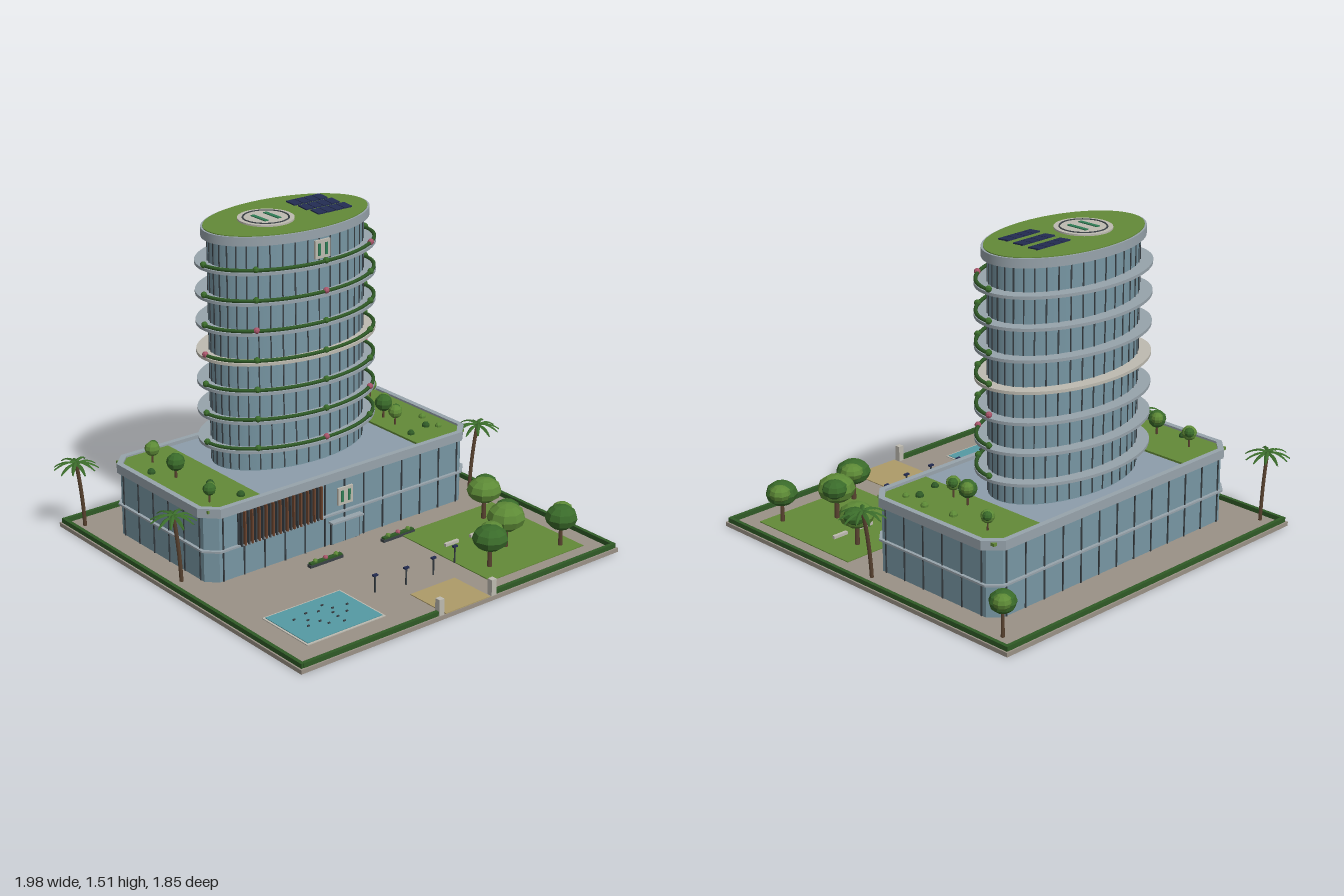
import * as THREE from 'three';

const C = {
  stone: 0x9a9186, glass: 0x7796a3, trim: 0x97a3ab, dark: 0x3a4146, green: 0x638a38, hedge: 0x2f5a26,
  leafA: 0x3a6b2a, leafB: 0x5d8a36, bark: 0x5a4330, pool: 0x559aa3, sand: 0xad9b68, pale: 0xbdbab0,
  wood: 0x6e4630, solar: 0x232c52, sign: 0x2f7d55, deck: 0x8d9dab, pink: 0xa8556a,
};
const mats = {};
function mat(color, flat = false) {
  const key = color + (flat ? 'f' : '');
  return (mats[key] ??= new THREE.MeshStandardMaterial({ color, flatShading: flat, side: flat ? THREE.DoubleSide : THREE.FrontSide }));
}
function add(parent, name, geo, color, x = 0, y = 0, z = 0, flat = false) {
  const m = new THREE.Mesh(geo, mat(color, flat));
  m.name = name;
  m.position.set(x, y, z);
  parent.add(m);
  return m;
}
// box given by its centre in plan and its lower and upper heights
function block(parent, name, color, x, z, w, d, y0, y1) {
  return add(parent, name, new THREE.BoxGeometry(w, y1 - y0, d), color, x, (y0 + y1) / 2, z);
}
function chamferedRect(P, hx, hz, c) {
  const pts = [[hx, -hz + c], [hx, hz - c], [hx - c, hz], [c - hx, hz], [-hx, hz - c], [-hx, c - hz], [c - hx, -hz], [hx - c, -hz]];
  return new P(pts.map(([x, y]) => new THREE.Vector2(x, y)));
}
function slab(parent, name, color, shape, y0, y1, z) {
  const g = new THREE.ExtrudeGeometry(shape, { depth: y1 - y0, bevelEnabled: false, curveSegments: 48 });
  g.rotateX(-Math.PI / 2);
  return add(parent, name, g, color, 0, y0, z);
}
function oval(parent, name, color, rx, rz, y0, y1, x, z) {
  const g = new THREE.CylinderGeometry(1, 1, y1 - y0, 64);
  g.scale(rx, 1, rz);
  return add(parent, name, g, color, x, (y0 + y1) / 2, z);
}
// low-poly crown on a short trunk, with a smaller second clump
function tree(parent, x, z, y0, yc, r, ry, light) {
  const t = new THREE.Group();
  t.name = 'tree';
  t.position.set(x, 0, z);
  add(t, 'trunk', new THREE.CylinderGeometry(r * 0.09, r * 0.14, yc - y0, 6), C.bark, 0, (yc + y0) / 2, 0);
  const crown = (cx, cy, cz, s, color) => {
    const g = new THREE.SphereGeometry(1, 9, 6);
    g.scale(r * s, ry * s, r * s);
    add(t, 'crown', g, color, cx, cy, cz, true);
  };
  crown(0, yc, 0, 0.95, light ? C.leafB : C.leafA);
  crown(r * 0.4, yc + ry * 0.25, -r * 0.35, 0.65, light ? C.leafA : C.leafB);
  parent.add(t);
}
function palm(parent, x, z, lean) {
  const p = new THREE.Group();
  p.name = 'palm';
  p.position.set(x, 0, z);
  const path = new THREE.QuadraticBezierCurve3(
    new THREE.Vector3(0, 0.02, 0), new THREE.Vector3(lean * 0.2, 0.2, 0), new THREE.Vector3(lean, 0.35, 0));
  add(p, 'palmTrunk', new THREE.TubeGeometry(path, 8, 0.009, 6), C.bark);
  for (let i = 0; i < 11; i++) {
    // tapering frond that arches over and droops
    const g = new THREE.PlaneGeometry(0.105, 0.02, 5, 2);
    g.rotateX(-Math.PI / 2);
    g.translate(0.0525, 0, 0);
    const a = g.attributes.position;
    for (let k = 0; k < a.count; k++) {
      const t = a.getX(k) / 0.105, w = a.getZ(k);
      a.setXYZ(k, a.getX(k), 0.035 * t - 0.06 * t * t - Math.abs(w) * 0.6, w * (0.3 + 2.4 * t * (1 - t) + 0.3 * (1 - t)));
    }
    const f = add(p, 'frond', g, C.leafA, lean, 0.35 + (i % 2) * 0.008, 0, true);
    f.rotation.y = (i / 11) * Math.PI * 2;
  }
  parent.add(p);
}

function makeGrounds() {
  const g = new THREE.Group();
  g.name = 'grounds';
  block(g, 'base', C.stone, 0, 0, 1.85, 1.85, 0, 0.02);
  block(g, 'lawn', C.green, 0.525, 0.5, 0.58, 0.62, 0.015, 0.024);
  block(g, 'drive', C.sand, 0, 0.805, 0.26, 0.235, 0.015, 0.024);
  block(g, 'poolRim', C.pale, -0.56, 0.617, 0.43, 0.315, 0.015, 0.024);
  block(g, 'poolWater', C.pool, -0.56, 0.617, 0.41, 0.295, 0.015, 0.027);
  for (let i = 0; i < 14; i++) {
    const a = i * 2.4, r = 0.3 + 0.045 * i;
    block(g, 'poolJet', C.dark, -0.56 + Math.cos(a) * r * 0.17, 0.617 + Math.sin(a) * r * 0.12, 0.012, 0.006, 0.025, 0.033);
  }
  // boundary hedge, with a gap at the gate
  for (const s of [-1, 1]) {
    block(g, 'sideHedge', C.hedge, s * 0.908, 0, 0.018, 1.83, 0.02, 0.042);
    block(g, 'frontHedge', C.hedge, s * 0.535, 0.908, 0.74, 0.018, 0.02, 0.042);
    block(g, 'gatePost', C.pale, s * 0.153, 0.907, 0.028, 0.028, 0.02, 0.097);
    // planters with flowers
    block(g, 'planter', C.dark, s * 0.215, 0.197, 0.19, 0.025, 0.02, 0.033);
    block(g, 'planterHedge', C.hedge, s * 0.215, 0.197, 0.18, 0.02, 0.033, 0.042);
    for (let i = -1; i <= 1; i++)
      add(g, 'flower', new THREE.SphereGeometry(0.012, 7, 5), i ? C.leafB : C.pink, s * 0.215 + i * 0.06, 0.044, 0.197, true);
    // path lights
    for (const [x, z] of [[0.08, 0.6], [0.235, 0.57]]) {
      block(g, 'lampPost', C.dark, s * x, z, 0.006, 0.006, 0.02, 0.1);
      block(g, 'lampHead', C.solar, s * x, z, 0.025, 0.014, 0.1, 0.108);
    }
  }
  block(g, 'backHedge', C.hedge, 0, -0.908, 1.83, 0.018, 0.02, 0.042);
  for (const x of [0.35, 0.505, 0.66]) block(g, 'bench', C.pale, x, 0.42, 0.08, 0.016, 0.024, 0.038);
  tree(g, 0.66, 0.3, 0.02, 0.17, 0.088, 0.062, true);
  tree(g, 0.53, 0.59, 0.02, 0.172, 0.095, 0.07, true);
  tree(g, 0.33, 0.7, 0.02, 0.165, 0.088, 0.062, false);
  tree(g, 0.735, 0.74, 0.02, 0.165, 0.08, 0.062, false);
  tree(g, 0.835, -0.81, 0.02, 0.185, 0.065, 0.055, false);
  palm(g, -0.85, -0.82, -0.035);
  palm(g, -0.835, -0.055, -0.035);
  palm(g, 0.84, 0, 0.045);
  return g;
}

const PZ = -0.31; // podium centre
function makePodium() {
  const g = new THREE.Group();
  g.name = 'podium';
  const S = THREE.Shape;
  slab(g, 'podiumWalls', C.glass, chamferedRect(S, 0.76, 0.375, 0.05), 0.02, 0.35, PZ);
  slab(g, 'roofDeck', C.deck, chamferedRect(S, 0.765, 0.38, 0.05), 0.345, 0.365, PZ);
  slab(g, 'ledge', C.trim, chamferedRect(S, 0.775, 0.39, 0.06), 0.168, 0.177, PZ);
  const rim = chamferedRect(S, 0.785, 0.393, 0.075);
  rim.holes.push(chamferedRect(THREE.Path, 0.758, 0.366, 0.06));
  slab(g, 'parapet', C.trim, rim, 0.338, 0.382, PZ);
  // window bars
  for (const s of [-1, 1]) {
    for (let i = 0; i < 13; i++) block(g, 'mullion', C.dark, -0.69 + i * 0.115, PZ + s * 0.376, 0.006, 0.008, 0.02, 0.34);
    for (let i = 0; i < 6; i++) block(g, 'mullion', C.dark, s * 0.761, PZ - 0.3 + i * 0.12, 0.008, 0.006, 0.02, 0.34);
    block(g, 'roofLawn', C.green, s * 0.61, PZ - 0.005, 0.29, 0.725, 0.36, 0.374);
  }
  // timber screen
  block(g, 'screenBacking', C.dark, -0.375, 0.068, 0.47, 0.01, 0.175, 0.335);
  for (let i = 0; i < 24; i++) block(g, 'louver', i % 2 ? C.wood : C.dark, -0.6 + i * 0.0196, 0.081, 0.008, 0.018, 0.172, 0.337);
  // entrance
  block(g, 'doors', C.dark, 0, 0.068, 0.17, 0.012, 0.02, 0.13);
  for (const s of [-1, 1]) block(g, 'doorLeaf', C.glass, s * 0.041, 0.073, 0.076, 0.008, 0.022, 0.126);
  block(g, 'canopy', C.trim, 0, 0.08, 0.185, 0.035, 0.13, 0.139);
  signPanel(g, 0.25, 0.072);
  // roof planting: x, z, radius
  const plants = [
    [-0.635, -0.555, 0.038], [-0.71, -0.455, 0.02], [-0.65, -0.345, 0.046], [-0.575, -0.185, 0.02], [-0.69, -0.03, 0.032], [-0.54, 0, 0.02],
    [0.675, -0.56, 0.034], [0.55, -0.31, 0.046], [0.675, -0.35, 0.02], [0.535, -0.205, 0.036], [0.695, -0.19, 0.018], [0.635, -0.095, 0.02],
    [0.68, -0.055, 0.016], [0.515, -0.065, 0.018]];
  plants.forEach(([x, z, r], i) => {
    if (r > 0.03) tree(g, x, z, 0.37, 0.405 + r, r, r * 0.95, i % 3 === 0);
    else add(g, 'shrub', new THREE.SphereGeometry(r, 8, 5), i % 2 ? C.hedge : C.leafB, x, 0.378, z, true);
  });
  return g;
}
// plain panel with two green bars
function signPanel(parent, y, z) {
  block(parent, 'panel', C.pale, 0, z, 0.085, 0.01, y - 0.043, y + 0.043);
  for (const s of [-1, 1]) block(parent, 'panelBar', C.sign, s * 0.02, z + 0.006, 0.014, 0.004, y - 0.028, y + 0.028);
}

const TZ = -0.355; // tower centre
function makeTower() {
  const g = new THREE.Group();
  g.name = 'tower';
  oval(g, 'towerWalls', C.glass, 0.41, 0.24, 0.36, 1.46, 0, TZ);
  for (let i = 0; i < 40; i++) {
    const a = (i / 40) * Math.PI * 2;
    const m = block(g, 'mullion', C.dark, 0.41 * Math.cos(a), TZ + 0.24 * Math.sin(a), 0.006, 0.006, 0.37, 1.45);
    m.rotation.y = Math.atan2(Math.cos(a) / 0.41, Math.sin(a) / 0.24);
  }
  // balcony rings, planted along the front half
  const arc = [];
  for (let i = 0; i <= 32; i++) {
    const a = (i / 32) * Math.PI;
    arc.push(new THREE.Vector3(0.462 * Math.cos(a), 0, 0.29 * Math.sin(a)));
  }
  const hedge = new THREE.TubeGeometry(new THREE.CatmullRomCurve3(arc), 48, 0.009, 6);
  const bush = new THREE.SphereGeometry(0.015, 8, 6);
  for (let k = 0; k < 7; k++) {
    const y = 0.471 + k * 0.1417;
    oval(g, 'balcony', k === 3 ? C.pale : C.trim, 0.47, 0.3, y, y + 0.014, 0, TZ);
    add(g, 'balconyHedge', hedge, C.hedge, 0, y + 0.023, TZ);
    for (let i = 0; i < 5; i++) {
      const a = (i / 4) * Math.PI;
      add(g, 'balconyBush', bush, (i + k) % 5 === 2 ? C.pink : C.leafA, 0.465 * Math.cos(a), y + 0.027, TZ + 0.292 * Math.sin(a), true);
    }
  }
  signPanel(g, 1.395, TZ + 0.262);
  // roof
  oval(g, 'roofCap', C.trim, 0.44, 0.264, 1.448, 1.49, 0, TZ);
  oval(g, 'roofGarden', C.green, 0.43, 0.255, 1.485, 1.494, 0, TZ);
  oval(g, 'landingPad', C.pale, 0.13, 0.13, 1.49, 1.502, -0.115, TZ);
  const ring = add(g, 'padRing', new THREE.TorusGeometry(0.105, 0.004, 6, 40), C.dark, -0.115, 1.502, TZ);
  ring.rotation.x = Math.PI / 2;
  for (const s of [-1, 1]) block(g, 'padBar', C.sign, -0.115 + s * 0.036, TZ, 0.02, 0.11, 1.5, 1.506);
  for (const dz of [-0.09, 0, 0.09])
    for (let i = 0; i < 4; i++) {
      const p = block(g, 'solarPanel', C.solar, 0.116 + i * 0.05, TZ + dz, 0.046, 0.06, 1.503, 1.509);
      p.rotation.x = 0.08;
      block(g, 'solarFoot', C.dark, 0.116 + i * 0.05, TZ + dz, 0.008, 0.008, 1.49, 1.504);
    }
  return g;
}

export function createModel() {
  const model = new THREE.Group();
  model.name = 'building';
  model.add(makeGrounds(), makePodium(), makeTower());
  return model;
}
